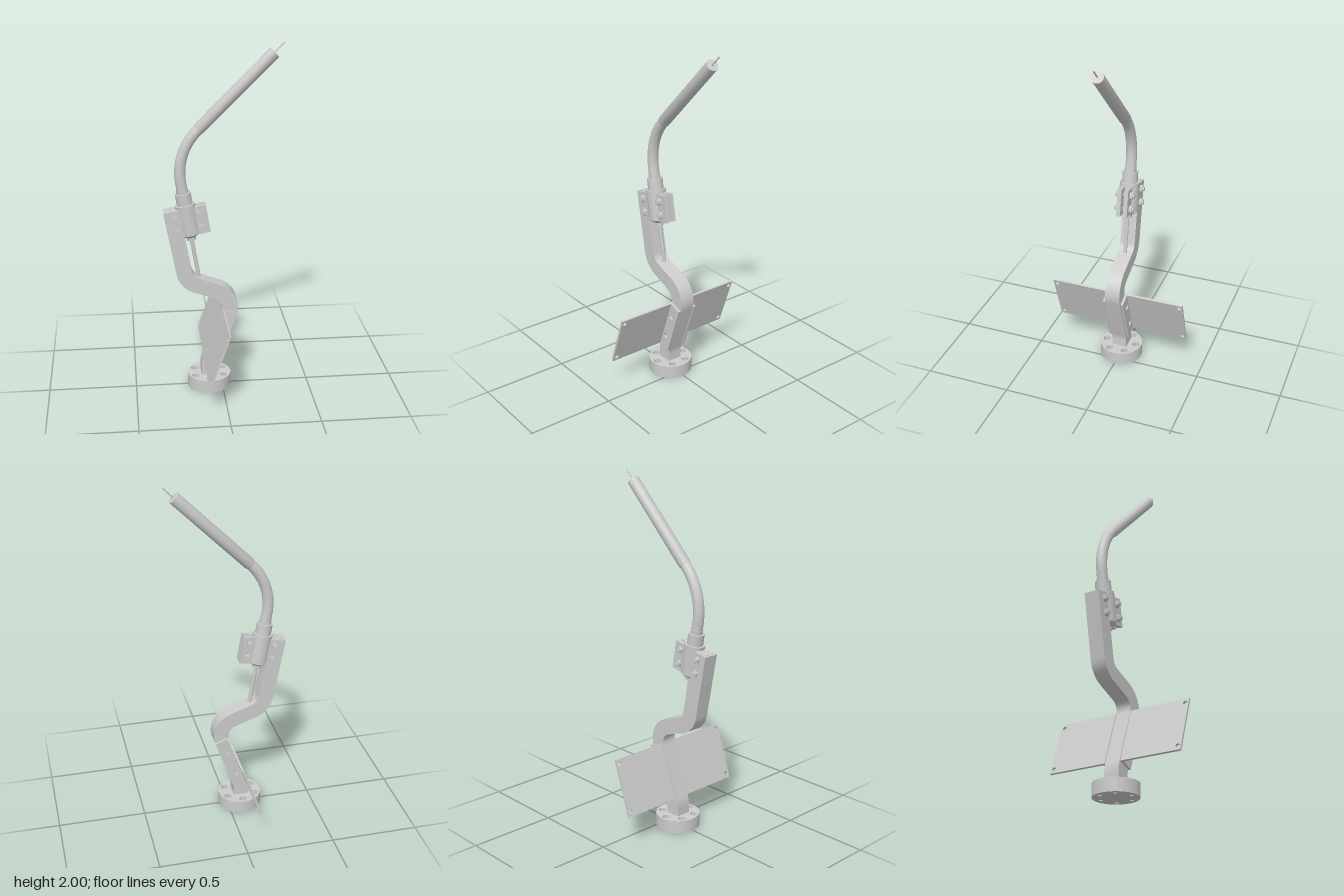
import * as THREE from 'three';
import { toCreasedNormals } from 'three/addons/utils/BufferGeometryUtils.js';

const V2 = (x, y) => new THREE.Vector2(x, y);
const material = new THREE.MeshStandardMaterial({ color: 0xcccccc });

function add(parent, name, geometry, x = 0, y = 0, z = 0) {
  const mesh = new THREE.Mesh(geometry, material);
  mesh.name = name;
  mesh.position.set(x, y, z);
  parent.add(mesh);
  return mesh;
}

// Polyline with its inner corners rounded: list of [x, y, radius].
function filletPath(corners, steps = 8) {
  const p = corners.map(([x, y]) => V2(x, y));
  const out = [p[0]];
  for (let i = 1; i < p.length - 1; i++) {
    const a = p[i].clone().sub(p[i - 1]).normalize();
    const b = p[i + 1].clone().sub(p[i]).normalize();
    const side = Math.sign(a.cross(b));
    const turn = Math.acos(a.dot(b));
    const r = corners[i][2];
    const start = p[i].clone().addScaledVector(a, -r * Math.tan(turn / 2));
    const center = start.clone().add(V2(-a.y, a.x).multiplyScalar(side * r));
    for (let k = 0; k <= steps; k++) {
      out.push(start.clone().rotateAround(center, side * turn * k / steps));
    }
  }
  out.push(p[p.length - 1]);
  return out;
}

// Outline of a band of constant width along a list of points.
function bandShape(points, width) {
  const left = [], right = [];
  points.forEach((p, i) => {
    const a = points[Math.max(i - 1, 0)], b = points[Math.min(i + 1, points.length - 1)];
    // an end of an arc keeps the mean direction of its neighbours
    const d1 = p.clone().sub(a).normalize(), d2 = b.clone().sub(p).normalize();
    const d = d1.add(d2).normalize();
    const n = V2(-d.y, d.x).multiplyScalar(width / 2);
    left.push(p.clone().add(n));
    right.unshift(p.clone().sub(n));
  });
  return new THREE.Shape([...left, ...right]);
}

// Rectangle with round holes given as [x, y, r].
function drilledRect(x0, y0, x1, y1, holes) {
  const shape = new THREE.Shape([V2(x0, y0), V2(x1, y0), V2(x1, y1), V2(x0, y1)]);
  drill(shape, holes);
  return shape;
}
function drill(shape, holes) {
  for (const [x, y, r] of holes) {
    shape.holes.push(new THREE.Path().absarc(x, y, r, 0, Math.PI * 2, true));
  }
}
const extrude = (shape, depth) => toCreasedNormals(
  new THREE.ExtrudeGeometry(shape, { depth, bevelEnabled: false, curveSegments: 12 }), 0.6);

const lathe = (profile, segments) => toCreasedNormals(
  new THREE.LatheGeometry(profile.map(([r, y]) => V2(r, y)), segments), 0.6);

// Round base with counterbored bolt holes
function buildBase() {
  const base = new THREE.Group();
  base.name = 'baseFlange';
  const layer = (name, y, h, r) => {
    const disc = new THREE.Shape().absarc(0, 0, 0.125, 0, Math.PI * 2, false);
    const holes = [];
    for (let i = 0; i < 6; i++) {
      const a = (i + 0.5) * Math.PI / 3;
      holes.push([0.093 * Math.cos(a), 0.093 * Math.sin(a), r]);
    }
    drill(disc, holes);
    const geometry = new THREE.ExtrudeGeometry(disc, { depth: h, bevelEnabled: false, curveSegments: 24 });
    add(base, name, toCreasedNormals(geometry.rotateX(-Math.PI / 2), 0.6), 0, y);
  };
  layer('baseLower', 0, 0.035, 0.011);
  layer('baseUpper', 0.035, 0.04, 0.021);
  base.position.x = -0.075;
  return base;
}

// L-shaped side bracket: a drilled flange on the arm and a wide plate
function buildBracket(side) {
  const bracket = new THREE.Group();
  bracket.name = side > 0 ? 'frontBracket' : 'backBracket';
  const inner = side > 0 ? 0.045 : 0.05, t = 0.014;
  const y0 = -0.17, y1 = 0.155;
  const flange = drilledRect(-0.043, y0, 0.043, y1, [[-0.004, 0.072, 0.016], [-0.004, -0.085, 0.016]]);
  add(bracket, 'bracketFlange', extrude(flange, t), 0, 0, side > 0 ? inner : -inner - t);
  const holes = [-0.143, 0.128].map(y => [side * 0.377, y, 0.012]);
  const ends = [side * inner, side * 0.398].sort((a, b) => a - b);
  const plate = drilledRect(ends[0], y0, ends[1], y1, holes);
  add(bracket, 'bracketPlate', extrude(plate, 0.012).rotateY(-Math.PI / 2), -0.031);
  bracket.position.set(-0.01, 0.328, 0);
  bracket.rotation.z = -0.34;
  return bracket;
}

// Split clamp holding the straight lower part of the torch
function buildClamp() {
  const clamp = new THREE.Group();
  clamp.name = 'torchClamp';
  add(clamp, 'clampBody', lathe([
    [0, -0.125], [0.026, -0.125], [0.026, -0.108], [0.04, -0.1], [0.056, -0.086],
    [0.056, 0.088], [0.044, 0.088], [0.044, 0.152], [0.033, 0.152],
    [0.033, 0.176], [0.03, 0.176], [0.03, 0.21], [0, 0.21],
  ], 24));
  add(clamp, 'lowerRod', new THREE.CylinderGeometry(0.011, 0.011, 0.24, 12), 0, -0.23);
  for (const s of [-1, 1]) {
    add(clamp, 'clampEar', new THREE.BoxGeometry(0.226, 0.162, 0.024), 0, -0.01, s * 0.02);
    for (const x of [-0.07, 0.07]) {
      for (const y of [0.03, -0.051]) {
        const inner = x < 0 ? 0.042 : 0.031;
        const head = new THREE.CylinderGeometry(0.021, 0.021, 0.018, 6).toNonIndexed();
        head.computeVertexNormals();
        add(clamp, 'boltHead', head.rotateX(Math.PI / 2), x, y, s * (inner + 0.009));
        const tip = new THREE.CylinderGeometry(0.012, 0.012, 0.012, 12).rotateX(Math.PI / 2);
        add(clamp, 'boltEnd', tip, x, y, s * (inner + 0.02));
      }
    }
  }
  // shanks across the gap between the ears
  for (const y of [0.03, -0.051]) {
    add(clamp, 'boltShank', new THREE.CylinderGeometry(0.011, 0.011, 0.06, 10).rotateX(Math.PI / 2), 0.07, y);
  }
  clamp.position.set(-0.19, 1.026, 0);
  clamp.rotation.z = 0.17;
  return clamp;
}

// Bent neck, straight nozzle and wire
function buildTorch() {
  const torch = new THREE.Group();
  torch.name = 'torch';
  const path = filletPath([[-0.217, 1.185], [-0.255, 1.406, 0.34], [-0.12, 1.541]], 16);
  const curve = new THREE.CatmullRomCurve3(path.map(p => new THREE.Vector3(p.x, p.y, 0)));
  add(torch, 'neck', new THREE.TubeGeometry(curve, 32, 0.0305, 20));
  const nozzle = new THREE.Group();
  nozzle.name = 'nozzle';
  nozzle.position.set(-0.131, 1.53, 0);
  nozzle.rotation.z = -Math.PI / 4;
  add(nozzle, 'nozzleTube', lathe([
    [0, 0], [0.029, 0], [0.034, 0.012], [0.034, 0.582], [0, 0.582],
  ], 16));
  add(nozzle, 'wire', new THREE.CylinderGeometry(0.004, 0.004, 0.09, 8), 0, 0.614);
  torch.add(nozzle);
  return torch;
}

export function createModel() {
  const model = new THREE.Group();
  model.name = 'torchArm';
  model.add(buildBase());

  // Square-section arm bent three times
  const arm = bandShape(filletPath([
    [-0.077, 0.07], [-0.077, 0.145, 0.15], [0.071, 0.56, 0.1], [-0.204, 0.66, 0.1], [-0.283, 1.08],
  ]), 0.088);
  add(model, 'arm', extrude(arm, 0.088), 0, 0, -0.044);

  for (const side of [1, -1]) model.add(buildBracket(side));
  model.add(buildClamp(), buildTorch());
  return model;
}
